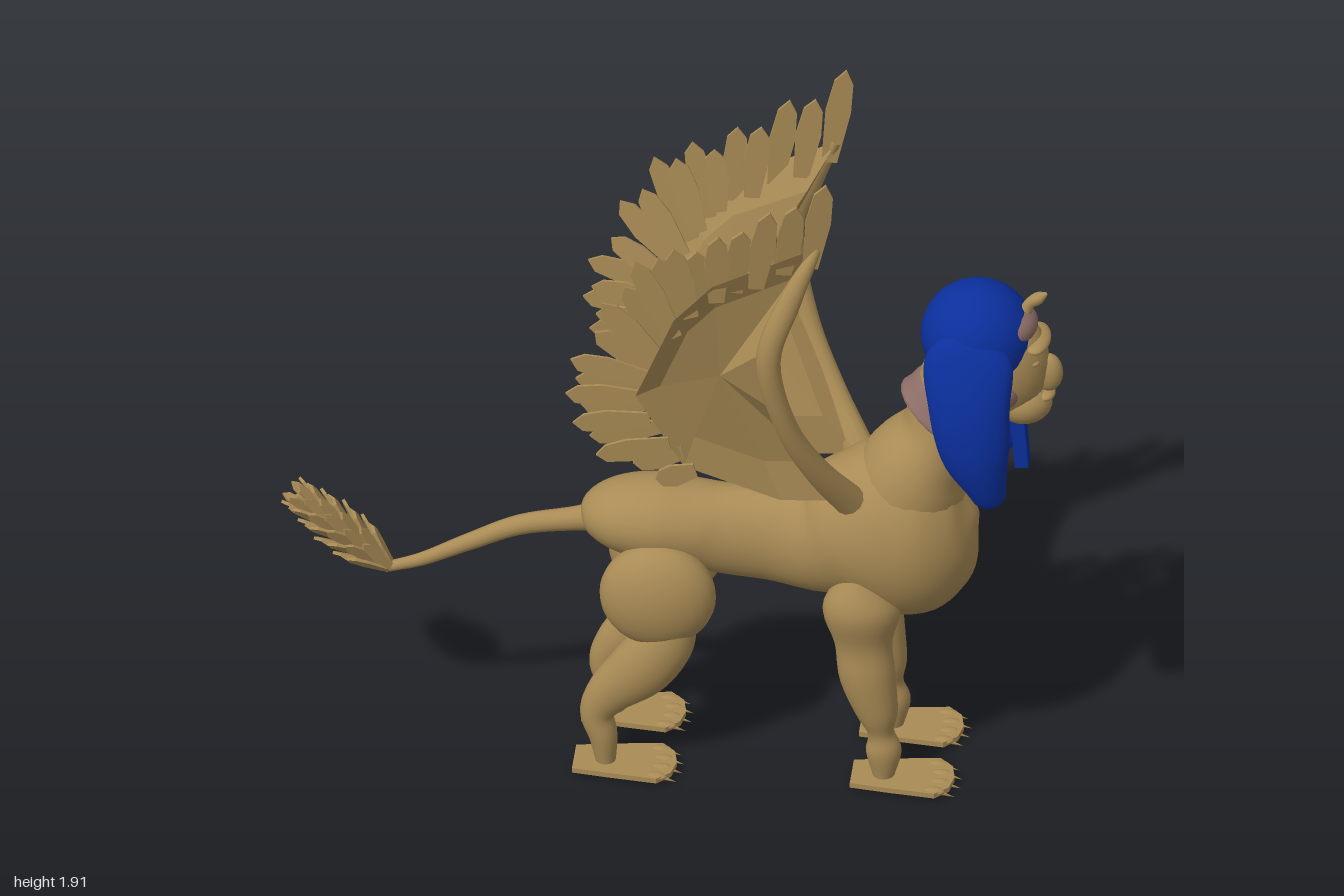
import * as THREE from 'three';

const V = (x, y, z = 0) => new THREE.Vector3(x, y, z);
const tan = new THREE.MeshStandardMaterial({ color: 0xa98b55 });
const tanThin = new THREE.MeshStandardMaterial({ color: 0xa98b55, side: THREE.DoubleSide });
const blue = new THREE.MeshStandardMaterial({ color: 0x0b2f9c });
const mauve = new THREE.MeshStandardMaterial({ color: 0x8d6c66 });
tan.name = 'sandstone';
tanThin.name = 'sandstone thin';
blue.name = 'royal blue';
mauve.name = 'mauve';

function add(parent, name, geo, mat) {
  const m = new THREE.Mesh(geo, mat);
  m.name = name;
  parent.add(m);
  return m;
}

// Elliptical sections [x, y, z, in-plane radius, side radius] swept along a smooth path
function loft(secs, steps = 32, sides = 24) {
  const path = new THREE.CatmullRomCurve3(secs.map(s => V(s[0], s[1], s[2])), false, 'catmullrom', 0.5);
  const radii = new THREE.CatmullRomCurve3(secs.map(s => V(s[3], s[4])), false, 'catmullrom', 0.5);
  const pos = [], idx = [];
  for (let i = 0; i <= steps; i++) {
    const c = path.getPoint(i / steps), r = radii.getPoint(i / steps), T = path.getTangent(i / steps);
    const B = V(0, 0, 1).addScaledVector(T, -T.z).normalize();
    const N = B.clone().cross(T);
    for (let j = 0; j < sides; j++) {
      const a = j / sides * Math.PI * 2;
      const p = c.clone().addScaledVector(N, Math.max(r.x, 0.001) * Math.cos(a))
        .addScaledVector(B, Math.max(r.y, 0.001) * Math.sin(a));
      pos.push(p.x, p.y, p.z);
      if (i < steps) {
        const k = i * sides, n = (j + 1) % sides;
        idx.push(k + j, k + n, k + sides + j, k + n, k + sides + n, k + sides + j);
      }
    }
  }
  const g = new THREE.BufferGeometry();
  g.setAttribute('position', new THREE.Float32BufferAttribute(pos, 3));
  g.setIndex(idx);
  g.computeVertexNormals();
  return g;
}

function ball(parent, name, mat, c, r) {
  const m = add(parent, name, new THREE.SphereGeometry(1, 28, 20), mat);
  m.position.set(...c);
  m.scale.set(...r);
  return m;
}

// Pointed flat blade from point a to point b
function blade(parent, name, a, b, w, normal) {
  const L = a.distanceTo(b);
  const s = new THREE.Shape([[-0.3, 0], [0.3, 0], [0.5, 0.55], [0.4, 0.85], [0.05, 1], [-0.35, 0.88], [-0.5, 0.55]]
    .map(p => new THREE.Vector2(p[0] * w, p[1] * L)));
  const m = add(parent, name, new THREE.ExtrudeGeometry(s, { depth: 0.008, bevelEnabled: false }), tan);
  const Y = b.clone().sub(a).normalize();
  const X = Y.clone().cross(normal).normalize();
  m.applyMatrix4(new THREE.Matrix4().makeBasis(X, Y, X.clone().cross(Y)).setPosition(a));
}

function foot(parent, x, z) {
  const f = new THREE.Group();
  f.name = 'foot';
  f.position.set(x, 0, z);
  parent.add(f);
  const s = new THREE.Shape([[0, -0.055], [0.1, -0.07], [0.22, -0.085], [0.255, -0.05], [0.265, 0],
    [0.255, 0.05], [0.22, 0.085], [0.1, 0.07], [0, 0.055]].map(p => new THREE.Vector2(...p)));
  const sole = add(f, 'sole', new THREE.ExtrudeGeometry(s, { depth: 0.014, bevelEnabled: false }), tan);
  sole.rotation.x = -Math.PI / 2;
  sole.position.y = 0.014;
  for (let i = 0; i < 4; i++) {
    const tz = (i - 1.5) * 0.042, tx = 0.235 - Math.abs(i - 1.5) * 0.012;
    ball(f, 'toe', tan, [tx, 0.022, tz], [0.028, 0.01, 0.016]);
    const claw = add(f, 'claw', new THREE.ConeGeometry(0.006, 0.04, 6), tan);
    claw.position.set(tx + 0.035, 0.013, tz);
    claw.rotation.z = -Math.PI / 2 - 0.3;
  }
}

function legs(parent, s) {
  const z = 0.12 * s;
  add(parent, 'frontLeg', loft([[0.49, 0.64, z, 0.04, 0.04], [0.49, 0.54, z, 0.1, 0.078], [0.495, 0.43, z, 0.075, 0.056],
    [0.505, 0.33, z, 0.073, 0.061], [0.53, 0.22, z, 0.055, 0.052], [0.54, 0.155, z, 0.034, 0.036],
    [0.547, 0.1, z, 0.046, 0.042], [0.547, 0.025, z, 0.028, 0.03]]), tan);
  foot(parent, 0.465, z);
  ball(parent, 'thigh', tan, [-0.035, 0.535, 0.115 * s], [0.15, 0.148, 0.085]);
  add(parent, 'hindLeg', loft([[0.01, 0.46, z, 0.06, 0.05], [-0.02, 0.39, z, 0.078, 0.06], [-0.08, 0.31, z, 0.082, 0.062],
    [-0.155, 0.235, z, 0.062, 0.05], [-0.19, 0.17, z, 0.045, 0.04], [-0.175, 0.1, z, 0.037, 0.04],
    [-0.168, 0.025, z, 0.026, 0.03]]), tan);
  foot(parent, -0.25, z);
}

function wing(parent, s) {
  const w = new THREE.Group();
  w.name = s > 0 ? 'rightWing' : 'leftWing';
  parent.add(w);
  // Arm along the leading edge
  add(w, 'wingArm', loft([[0.47, 0.84, 0.11 * s, 0.045, 0.035], [0.38, 1.0, 0.2 * s, 0.035, 0.03],
    [0.31, 1.17, 0.265 * s, 0.03, 0.027], [0.268, 1.39, 0.305 * s, 0.032, 0.026],
    [0.32, 1.56, 0.285 * s, 0.03, 0.024], [0.39, 1.71, 0.25 * s, 0.012, 0.012]], 30, 12), tan);
  // Hollow panel: outline, inset ring and centre
  const edge = [[0.46, 0.85, 0.11], [0.31, 1.17, 0.26], [0.26, 1.4, 0.3], [0.39, 1.71, 0.25], [0.12, 1.58, 0.26],
    [0.02, 1.47, 0.26], [-0.08, 1.22, 0.24], [0.04, 0.98, 0.19], [0.28, 0.84, 0.11]].map(p => V(p[0], p[1], p[2] * s));
  const mid = V(0.13, 1.25, 0.17 * s);
  const inner = edge.map(p => {
    const q = p.clone().lerp(mid, 0.28);
    q.z -= 0.02 * s;
    return q;
  });
  const pos = [];
  edge.forEach((a, i) => {
    const k = (i + 1) % edge.length;
    [a, edge[k], inner[i], edge[k], inner[k], inner[i], inner[i], inner[k], mid].forEach(p => pos.push(p.x, p.y, p.z));
  });
  const g = new THREE.BufferGeometry();
  g.setAttribute('position', new THREE.Float32BufferAttribute(pos, 3));
  g.computeVertexNormals();
  add(w, 'wingPanel', g, tanThin);
  // Flight feathers in two overlapping layers
  const curve = pts => new THREE.CatmullRomCurve3(pts.map(p => V(p[0], p[1])), false, 'catmullrom', 0.5);
  const base = curve([[0.37, 1.65], [0.2, 1.56], [0.09, 1.5], [0.03, 1.42], [-0.02, 1.33], [-0.05, 1.25], [-0.06, 1.17], [-0.01, 1.08], [0.07, 0.98]]);
  const tip = curve([[0.41, 1.92], [0.23, 1.8], [0.07, 1.7], [-0.06, 1.66], [-0.17, 1.5], [-0.26, 1.28], [-0.25, 1.17], [-0.21, 1.04], [-0.03, 0.95]]);
  const n = 21;
  for (let i = 0; i < n; i++) {
    const t = i / (n - 1), a = base.getPoint(t), b = tip.getPoint(t), odd = i % 2;
    if (odd) b.lerp(a, 0.13);
    a.z = (0.25 - 0.05 * t - odd * 0.02) * s;
    b.z = (0.27 - 0.06 * t - odd * 0.015) * s;
    blade(w, 'feather', a, b, 0.066, V(0.2, 0, 1));
  }
}

function head(parent) {
  const h = new THREE.Group();
  h.name = 'head';
  parent.add(h);
  ball(h, 'face', tan, [0.83, 1.235, 0], [0.132, 0.165, 0.097]);
  ball(h, 'jaw', tan, [0.895, 1.115, 0], [0.075, 0.06, 0.068]);
  ball(h, 'nose', tan, [0.96, 1.205, 0], [0.037, 0.055, 0.028]);
  ball(h, 'upperLip', tan, [0.952, 1.142, 0], [0.026, 0.014, 0.038]);
  ball(h, 'lowerLip', tan, [0.946, 1.115, 0], [0.024, 0.013, 0.032]);
  ball(h, 'brow', tan, [0.93, 1.305, 0], [0.036, 0.018, 0.075]);
  ball(h, 'headband', mauve, [0.858, 1.35, 0], [0.075, 0.052, 0.088]);
  ball(h, 'cheekLining', mauve, [0.855, 1.18, 0], [0.052, 0.065, 0.103]);
  ball(h, 'headdress', blue, [0.778, 1.312, 0], [0.147, 0.147, 0.14]);
  for (const s of [1, -1]) {
    ball(h, 'eye', tan, [0.925, 1.262, 0.045 * s], [0.018, 0.011, 0.02]);
    add(h, 'headdressLappet', loft([[0.77, 1.39, 0.08 * s, 0.02, 0.02], [0.765, 1.31, 0.115 * s, 0.11, 0.04], [0.77, 1.18, 0.15 * s, 0.105, 0.05],
      [0.785, 1.05, 0.16 * s, 0.09, 0.05], [0.812, 0.94, 0.145 * s, 0.055, 0.042], [0.822, 0.885, 0.132 * s, 0.035, 0.028],
      [0.824, 0.868, 0.13 * s, 0.002, 0.002]]), blue);
  }
  const beard = add(h, 'beard', new THREE.BoxGeometry(0.035, 0.15, 0.058), blue);
  beard.position.set(0.887, 1.0, 0);
  beard.rotation.z = 0.08;
  add(h, 'browHorn', loft([[0.895, 1.37, 0, 0.018, 0.016], [0.91, 1.41, 0, 0.015, 0.014], [0.935, 1.43, 0, 0.016, 0.018],
    [0.957, 1.445, 0, 0.003, 0.003]], 12, 10), tan);
}

function tail(parent) {
  add(parent, 'tail', loft([[-0.15, 0.7, 0, 0.05, 0.045], [-0.25, 0.68, 0, 0.033, 0.031], [-0.4, 0.65, 0, 0.027, 0.025],
    [-0.53, 0.59, 0, 0.023, 0.021], [-0.65, 0.53, 0, 0.018, 0.016], [-0.74, 0.5, 0, 0.014, 0.014]], 30, 14), tan);
  // Tuft of small blades around a slanted stem
  const start = V(-0.735, 0.5), dir = V(-0.76, 0.65).normalize(), up = V(0.65, 0.76).normalize();
  for (let i = 0; i < 8; i++) {
    for (let j = 0; j < 6; j++) {
      const a = (j + (i % 2) / 2) * Math.PI / 3;
      const out = up.clone().multiplyScalar(Math.cos(a)).add(V(0, 0, Math.sin(a)));
      const p = start.clone().addScaledVector(dir, i * 0.032).addScaledVector(out, 0.006);
      const spread = 0.052 - Math.max(0, i - 3) * 0.006;
      blade(parent, 'tailTuft', p, p.clone().addScaledVector(dir, 0.115).addScaledVector(out, spread), 0.03, out);
    }
  }
}

export function createModel() {
  const g = new THREE.Group();
  g.name = 'wingedSphinx';
  // Rump, waist and chest
  add(g, 'body', loft([[-0.245, 0.7, 0, 0.002, 0.002], [-0.225, 0.702, 0, 0.05, 0.06], [-0.16, 0.703, 0, 0.09, 0.105],
    [-0.06, 0.7, 0, 0.112, 0.125], [0.04, 0.69, 0, 0.113, 0.115], [0.13, 0.675, 0, 0.125, 0.1], [0.25, 0.672, 0, 0.137, 0.1],
    [0.36, 0.675, 0, 0.16, 0.135], [0.45, 0.7, 0, 0.2, 0.17], [0.55, 0.715, 0, 0.247, 0.19], [0.65, 0.715, 0, 0.238, 0.182],
    [0.73, 0.72, 0, 0.17, 0.13], [0.77, 0.725, 0, 0.075, 0.06], [0.78, 0.725, 0, 0.002, 0.002]], 64, 32), tan);
  add(g, 'neck', loft([[0.58, 0.78, 0, 0.16, 0.16], [0.62, 0.9, 0, 0.14, 0.15], [0.675, 1.01, 0, 0.1, 0.115],
    [0.7, 1.13, 0, 0.088, 0.092], [0.75, 1.28, 0, 0.08, 0.08]]), tan);
  add(g, 'neckBand', loft([[0.68, 1.055, 0, 0.06, 0.06], [0.683, 1.058, 0, 0.128, 0.112], [0.7, 1.08, 0, 0.128, 0.11],
    [0.73, 1.115, 0, 0.12, 0.1], [0.735, 1.12, 0, 0.05, 0.05]], 16), mauve);
  head(g);
  tail(g);
  for (const s of [1, -1]) {
    legs(g, s);
    wing(g, s);
  }
  return g;
}
